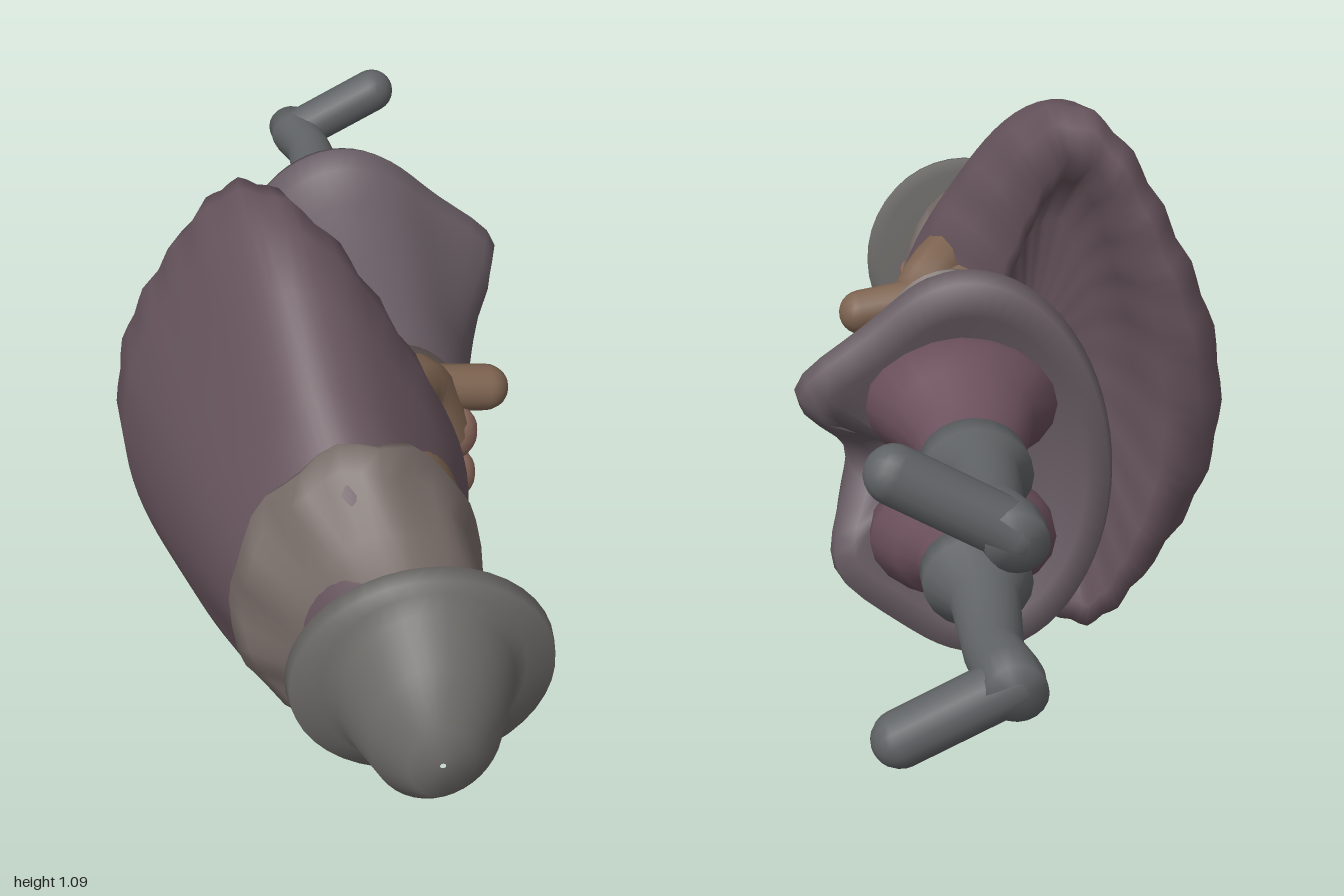
import * as THREE from 'three';

const MID = 0.55; // height of the figure's symmetry plane (it lies along z, head to +z)
const COLORS = {
  cape: 0x65535b, coat: 0x665b62, mantle: 0x756a66, leather: 0x7d6350,
  trouser: 0x6a4f5a, boot: 0x5f6264, hat: 0x6c6a67, skin: 0x8d6a5e,
};

function mesh(name, geometry, color) {
  const m = new THREE.Mesh(geometry, new THREE.MeshStandardMaterial({ color }));
  m.name = name;
  return m;
}

// Skin over elliptical rings [z, cx, cy, rx, ry, tilt]; tilt shears z with x.
function loft(rings, adjust, n = 40) {
  const pos = [], idx = [];
  rings.forEach(([z, cx, cy, rx, ry, tilt = 0], i) => {
    for (let j = 0; j < n; j++) {
      const t = (j / n) * Math.PI * 2;
      const p = new THREE.Vector3(cx + rx * Math.cos(t), cy + ry * Math.sin(t), z + tilt * rx * Math.cos(t));
      if (adjust) adjust(p, t, i, cx, cy);
      pos.push(p.x, p.y, p.z);
      if (i < rings.length - 1) {
        const a = i * n + j, b = i * n + (j + 1) % n, c = a + n, d = b + n;
        idx.push(a, c, b, b, c, d);
      }
    }
  });
  const g = new THREE.BufferGeometry();
  g.setAttribute('position', new THREE.Float32BufferAttribute(pos, 3));
  g.setIndex(idx);
  g.computeVertexNormals();
  return g;
}

function tube(points, radius) {
  const curve = new THREE.CatmullRomCurve3(points.map((p) => new THREE.Vector3(...p)));
  return new THREE.TubeGeometry(curve, 16, radius, 10);
}

function ball(name, [x, y, z], [sx, sy, sz], color) {
  const m = mesh(name, new THREE.SphereGeometry(1, 16, 12), color);
  m.position.set(x, y, z);
  m.scale.set(sx, sy, sz);
  return m;
}

// Rounded bar between two points
function bar(name, from, to, radius, color) {
  const a = new THREE.Vector3(...from), b = new THREE.Vector3(...to);
  const m = mesh(name, new THREE.CapsuleGeometry(radius, a.distanceTo(b), 6, 14), color);
  m.position.copy(a).lerp(b, 0.5);
  m.quaternion.setFromUnitVectors(new THREE.Vector3(0, 1, 0), b.sub(a).normalize());
  return m;
}

export function createModel() {
  const model = new THREE.Group();
  model.name = 'cloakedFigure';

  // Hollow cape with a thick slanted hem: outside down to the hem, then back up inside.
  // Its cross-section is drawn in at the diagonals and wrapped further round the front.
  const drape = (p, t, i, cx, cy) => {
    if (i < 3) return;
    const pleat = i > 5 ? 0.012 * Math.cos(t * 22) : 0;
    const k = 1 - 0.1 * Math.sin(2 * t) ** 2 + pleat;
    const front = Math.cos(t) > 0 ? 1.2 : 1;
    p.x = cx + (p.x - cx) * k * front;
    p.y = cy + (p.y - cy) * k;
  };
  model.add(mesh('cape', loft([
    [0.73, 0.02, MID, 0.01, 0.01], [0.70, 0, MID, 0.12, 0.14, 0.1], [0.60, -0.03, MID, 0.18, 0.25, 0.1],
    [0.45, -0.07, MID, 0.215, 0.36, 0.2], [0.30, -0.10, MID, 0.25, 0.48, 0.35],
    [0.18, -0.12, MID, 0.285, 0.54, 0.55], [0.08, -0.13, MID, 0.28, 0.55, 0.62],
    [0, -0.13, MID, 0.225, 0.53, 0.82], [-0.035, -0.14, MID, 0.15, 0.47, 0.9],
    [0.08, -0.13, MID, 0.12, 0.40, 0.6], [0.16, -0.10, MID, 0.1, 0.3, 0.4], [0.20, -0.05, MID, 0.01, 0.01],
  ], drape, 88), COLORS.cape));

  // Shoulder mantle with a rolled lower edge
  model.add(mesh('mantle', loft([
    [0.75, 0.05, MID, 0.02, 0.02], [0.73, 0.05, MID, 0.1, 0.12], [0.66, 0.02, MID, 0.17, 0.2],
    [0.58, -0.02, MID, 0.21, 0.28], [0.54, -0.02, MID, 0.23, 0.31, -0.1], [0.50, -0.02, MID, 0.21, 0.29, -0.15],
    [0.48, 0, MID, 0.12, 0.2],
  ], (p, t, i) => {
    if (i > 2) p.z += 0.015 * Math.cos(t * 9);
  }), COLORS.mantle));

  // Torso, belt and beard
  model.add(mesh('torso', loft([
    [0.72, 0.07, MID, 0.02, 0.02], [0.68, 0.07, MID, 0.11, 0.14], [0.50, 0.05, MID, 0.145, 0.25],
    [0.30, 0.06, MID, 0.14, 0.22], [0.10, 0.10, MID, 0.14, 0.2], [0.05, 0.10, MID, 0.02, 0.02],
  ]), COLORS.leather));
  model.add(mesh('belt', loft([
    [0.17, 0.1, MID, 0.05, 0.1], [0.16, 0.1, MID, 0.14, 0.2], [0.10, 0.115, MID, 0.155, 0.215],
    [0.09, 0.1, MID, 0.05, 0.1],
  ]), COLORS.mantle));
  model.add(ball('beard', [0.11, MID, 0.53], [0.09, 0.14, 0.22], COLORS.mantle));

  // Flared coat skirt with two front corners, a short slit and a recessed underside
  const slit = (p, t) => {
    const a = Math.atan2(Math.sin(t), Math.cos(t));
    const flare = THREE.MathUtils.clamp((-0.1 - p.z) / 0.25, 0, 1);
    const bump = (at, width) => Math.exp(-(((a - at) / width) ** 2)) * flare;
    p.x += 0.09 * bump(0.4, 0.3) + 0.05 * bump(-0.6, 0.3) - 0.03 * bump(0, 0.25);
    p.z += 0.1 * bump(-0.05, 0.28);
  };
  model.add(mesh('coatSkirt', loft([
    [0.15, 0.1, MID, 0.02, 0.02], [0.13, 0.11, MID, 0.145, 0.2], [0.05, 0.12, MID, 0.16, 0.22],
    [-0.04, 0.12, MID, 0.175, 0.235], [-0.15, 0.12, MID, 0.2, 0.255], [-0.30, 0.105, MID, 0.23, 0.295, 0.05],
    [-0.36, 0.095, MID, 0.24, 0.345, 0.1], [-0.39, 0.09, MID, 0.25, 0.375, 0.12],
    [-0.425, 0.09, MID, 0.24, 0.36, 0.12], [-0.43, 0.09, MID, 0.2, 0.30, 0.1],
    [-0.38, 0.1, MID, 0.16, 0.24], [-0.36, 0.10, MID, 0.01, 0.01],
  ], slit, 64), COLORS.coat));

  // Face and brimmed hat with a blunt crown
  model.add(ball('face', [0.045, 0.56, 0.74], [0.135, 0.145, 0.1], COLORS.skin));
  model.add(ball('nose', [0.175, 0.56, 0.73], [0.03, 0.03, 0.04], COLORS.skin));
  model.add(mesh('hat', loft([
    [1.0, 0.05, 0.55, 0.005, 0.005], [0.995, 0.05, 0.55, 0.055, 0.075], [0.94, 0.05, 0.56, 0.11, 0.145],
    [0.85, 0.05, 0.57, 0.15, 0.19], [0.82, 0.05, 0.57, 0.175, 0.205], [0.815, 0.05, 0.57, 0.225, 0.23],
    [0.785, 0.05, 0.57, 0.23, 0.235], [0.77, 0.05, 0.57, 0.2, 0.21], [0.78, 0.05, 0.57, 0.01, 0.01],
  ], (p, t, i) => {
    if (i > 2) p.z += 0.1 * (p.y - 0.57);
  }), COLORS.hat));

  // Mirrored limbs
  for (const s of [1, -1]) {
    const side = s > 0 ? 'left' : 'right';
    const y = (d) => MID + s * d;

    // Sleeve bent across the belly
    model.add(mesh(`${side}Arm`, tube([
      [0.02, y(0.23), 0.42], [0.08, y(0.21), 0.28], [0.15, y(0.17), 0.18], [0.2, y(0.05), 0.17],
    ], 0.06), COLORS.leather));
    model.add(ball(`${side}Hand`, [0.22, y(0.05), 0.17], [0.05, 0.06, 0.045], COLORS.skin));

    // Baggy trouser, then boot with a wide cuff
    model.add(mesh(`${side}Trouser`, loft([
      [-0.28, 0.1, y(0.13), 0.02, 0.02], [-0.29, 0.11, y(0.13), 0.17, 0.11], [-0.42, 0.11, y(0.13), 0.17, 0.12],
      [-0.48, 0.11, y(0.125), 0.125, 0.1], [-0.54, 0.1, y(0.11), 0.1, 0.08], [-0.62, 0.1, y(0.1), 0.08, 0.065],
    ], null, 20), COLORS.trouser));
    model.add(mesh(`${side}Boot`, loft([
      [-0.58, 0.1, y(0.1), 0.05, 0.04], [-0.61, 0.1, y(0.1), 0.095, 0.085], [-0.66, 0.095, y(0.1), 0.095, 0.085],
      [-0.70, 0.085, y(0.115), 0.06, 0.055], [-0.86, 0.08, y(0.125), 0.05, 0.05], [-0.93, 0.06, y(0.13), 0.055, 0.055],
      [-0.985, 0.05, y(0.13), 0.05, 0.05], [-0.99, 0.05, y(0.13), 0.001, 0.001],
    ], null, 20), COLORS.boot));

    // Foot turned outward
    model.add(bar(`${side}Foot`, [0.05, y(0.13), -0.945], [0.235, y(0.23), -0.94], 0.048, COLORS.boot));
  }

  // Forearm thrust forward from the belly
  model.add(bar('forwardForearm', [0.1, 0.7, 0.15], [0.29, 0.67, 0.13], 0.045, COLORS.leather));

  return model;
}
